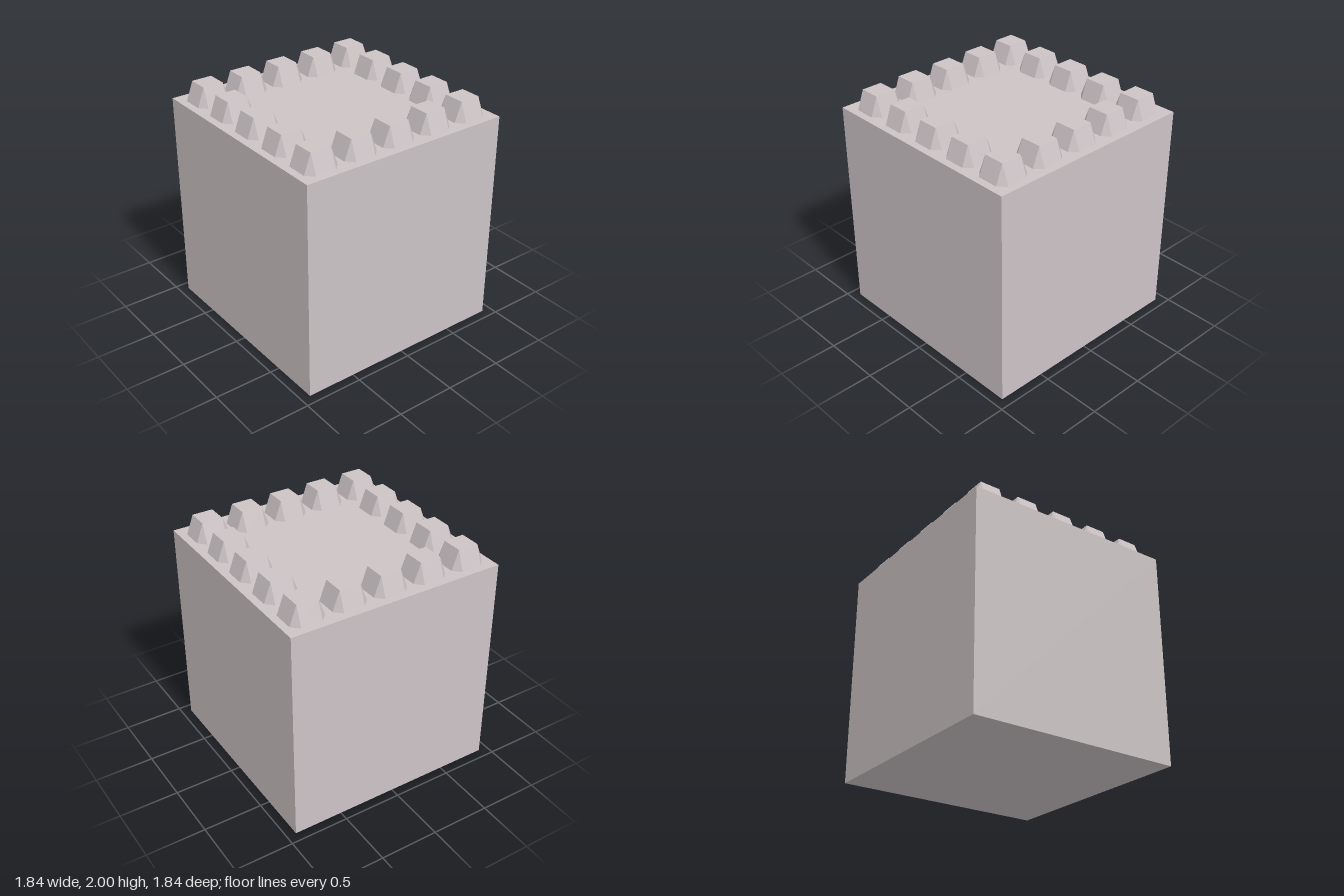
import * as THREE from 'three';
import { ConvexGeometry } from 'three/addons/geometries/ConvexGeometry.js';

const SIZE = 1.84;   // edge of the block
const STUD_H = 0.16;
const TOP = 0.0875;  // half width of a stud's top
const BASE = 0.1475; // half width of a stud's foot
const PITCH = 0.355; // spacing between studs

// Square-topped stud with four sloping sides and triangular chamfered corners
function studGeometry() {
  const points = [];
  for (const sx of [-1, 1]) {
    for (const sz of [-1, 1]) {
      points.push(
        new THREE.Vector3(sx * TOP, STUD_H, sz * TOP),
        new THREE.Vector3(sx * BASE, 0, sz * TOP),
        new THREE.Vector3(sx * TOP, 0, sz * BASE)
      );
    }
  }
  return new ConvexGeometry(points);
}

export function createModel() {
  const model = new THREE.Group();
  model.name = 'studdedBlock';
  const material = new THREE.MeshStandardMaterial({ color: 0xccc3c5, flatShading: true });

  // Main cube
  const block = new THREE.Mesh(new THREE.BoxGeometry(SIZE, SIZE, SIZE), material);
  block.name = 'block';
  block.position.y = SIZE / 2;
  model.add(block);

  // Ring of studs around the rim of the top, five along each side
  const studs = new THREE.Group();
  studs.name = 'rimStuds';
  const geometry = studGeometry();
  for (let i = -2; i <= 2; i++) {
    for (let j = -2; j <= 2; j++) {
      if (Math.max(Math.abs(i), Math.abs(j)) < 2) continue;
      const stud = new THREE.Mesh(geometry, material);
      stud.name = 'stud';
      stud.position.set(i * PITCH, SIZE, j * PITCH);
      studs.add(stud);
    }
  }
  model.add(studs);
  return model;
}
